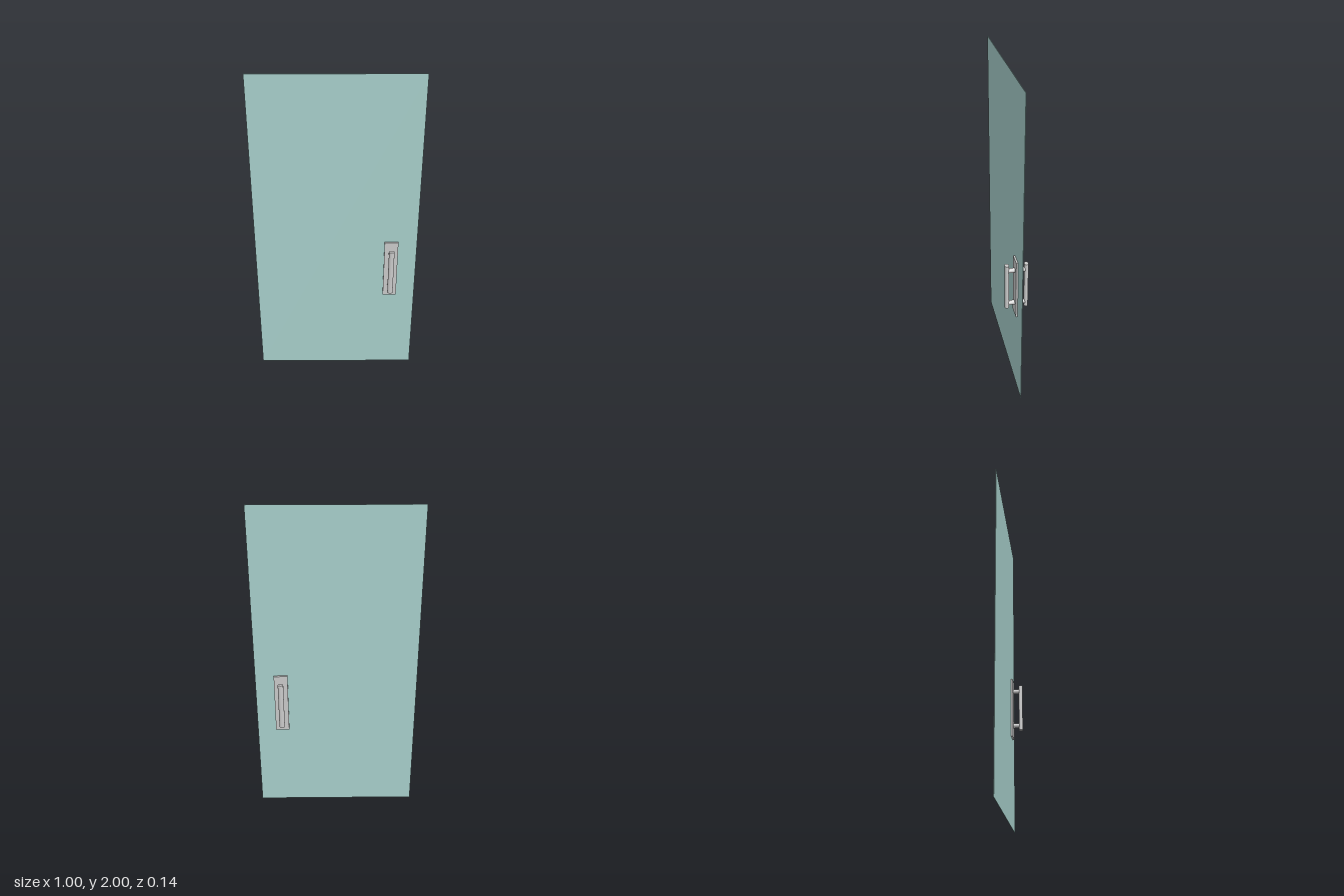
import * as THREE from 'three';

const metal = new THREE.MeshStandardMaterial({ color: 0xcccccc });
const glass = new THREE.MeshStandardMaterial({ color: 0xa8d0cc });

function part(name, geometry, material, x, y, z) {
  const mesh = new THREE.Mesh(geometry, material);
  mesh.name = name;
  mesh.position.set(x, y, z);
  return mesh;
}

// Pull bar on two posts, standing out on one side of the door
function makeHandle(name, side) {
  const handle = new THREE.Group();
  handle.name = name;

  // Upright bar with an oval section
  const bar = new THREE.CylinderGeometry(1, 1, 0.3, 32).scale(0.017, 1, 0.0125);
  handle.add(part('pullBar', bar, metal, 0, 0.76, side * 0.058));

  // Posts from the plate to the bar
  for (const y of [0.64, 0.872]) {
    const post = new THREE.CylinderGeometry(0.0145, 0.0145, 0.056, 24).rotateX(Math.PI / 2);
    handle.add(part('handlePost', post, metal, 0, y, side * 0.03));
  }
  return handle;
}

export function createModel() {
  const door = new THREE.Group();
  door.name = 'glassDoor';

  // Thin glass pane
  door.add(part('glassPane', new THREE.BoxGeometry(1, 2, 0.003), glass, 0, 1, -0.001));

  // Mounting plate through the glass, with a handle on each face
  door.add(part('mountingPlate', new THREE.BoxGeometry(0.084, 0.386, 0.027), metal, 0.342, 0.753, -0.002));
  for (const [name, side] of [['frontHandle', 1], ['backHandle', -1]]) {
    const handle = makeHandle(name, side);
    handle.position.x = 0.341;
    door.add(handle);
  }
  return door;
}
